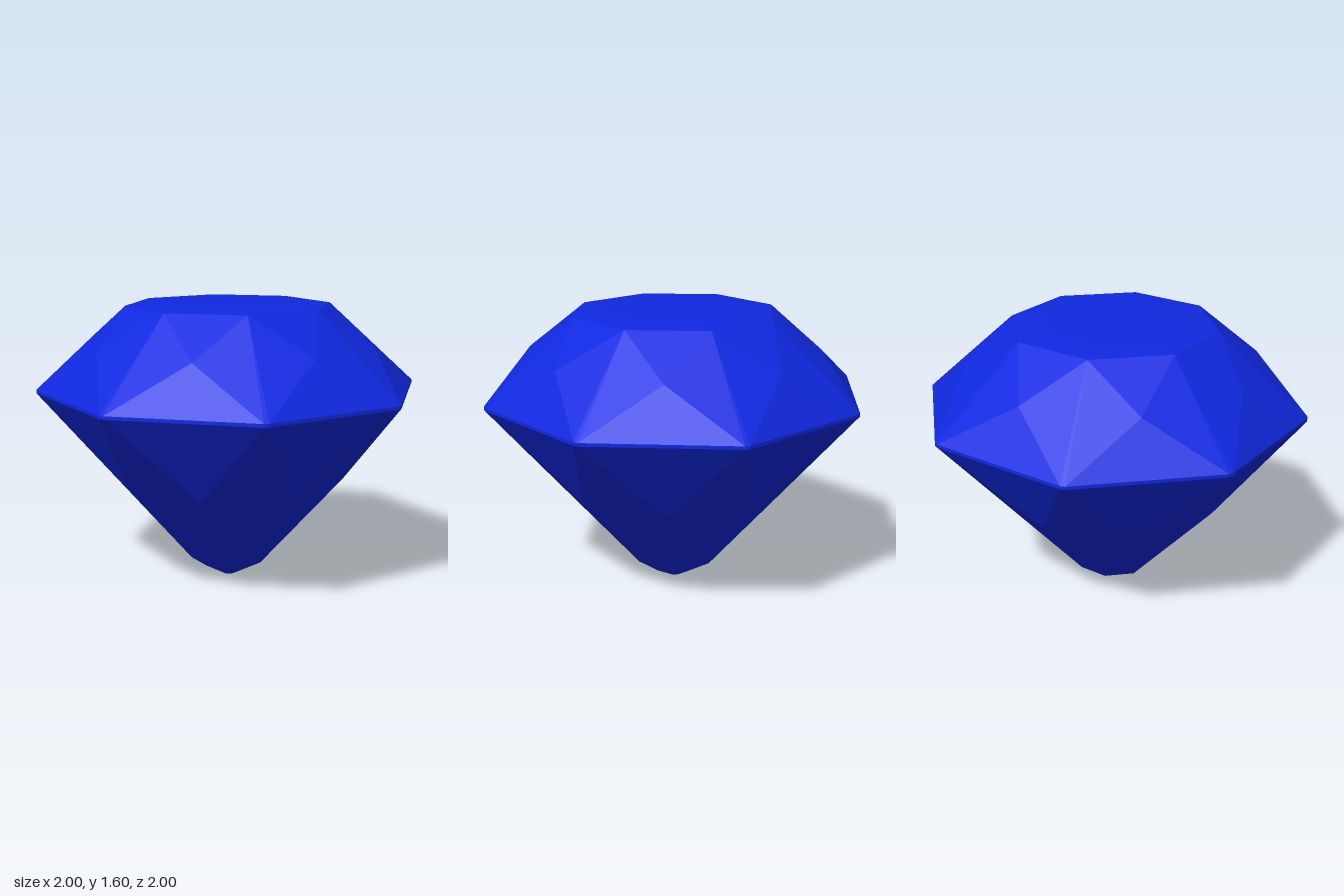
import * as THREE from 'three';
import { ConvexGeometry } from 'three/addons/geometries/ConvexGeometry.js';

const STEP = Math.PI / 4;

// Eight points at the octagon's corners; apothem is the distance to a flat side.
// A trim above zero splits each corner into a narrow bevel.
function cornerRing(apothem, y, trim = 0) {
  const points = [];
  const half = apothem * Math.tan(STEP / 2) - trim;
  for (let i = 0; i < 8; i++) {
    for (const side of trim ? [-1, 1] : [1]) {
      points.push(new THREE.Vector3(apothem, y, side * half).applyAxisAngle(new THREE.Vector3(0, 1, 0), i * STEP));
    }
  }
  return points;
}

// Eight points in line with the middles of the sides.
function sideRing(radius, y) {
  return Array.from({ length: 8 }, (_, i) =>
    new THREE.Vector3(radius * Math.cos(i * STEP), y, radius * Math.sin(i * STEP)));
}

export function createModel() {
  const group = new THREE.Group();
  group.name = 'cutGem';

  const gemBlue = new THREE.MeshStandardMaterial({ color: 0x1028e0 });
  gemBlue.name = 'gemBlue';

  // Facet corners from the table down to the culet; the cut stone is convex.
  const points = [
    ...cornerRing(0.36, 1.6),          // table
    ...cornerRing(0.535, 1.583),       // table edge
    ...sideRing(0.815, 1.375),         // crown kites
    ...cornerRing(1.0, 1.128, 0.014),  // girdle top
    ...cornerRing(1.0, 1.11, 0.014),   // girdle bottom
    ...sideRing(0.662, 0.615),         // pavilion kites
    ...cornerRing(0.205, 0.105),       // culet shoulder
    ...cornerRing(0.03, 0),            // culet
  ];
  const gem = new THREE.Mesh(new ConvexGeometry(points), gemBlue);
  gem.name = 'facetedStone';
  group.add(gem);

  return group;
}
